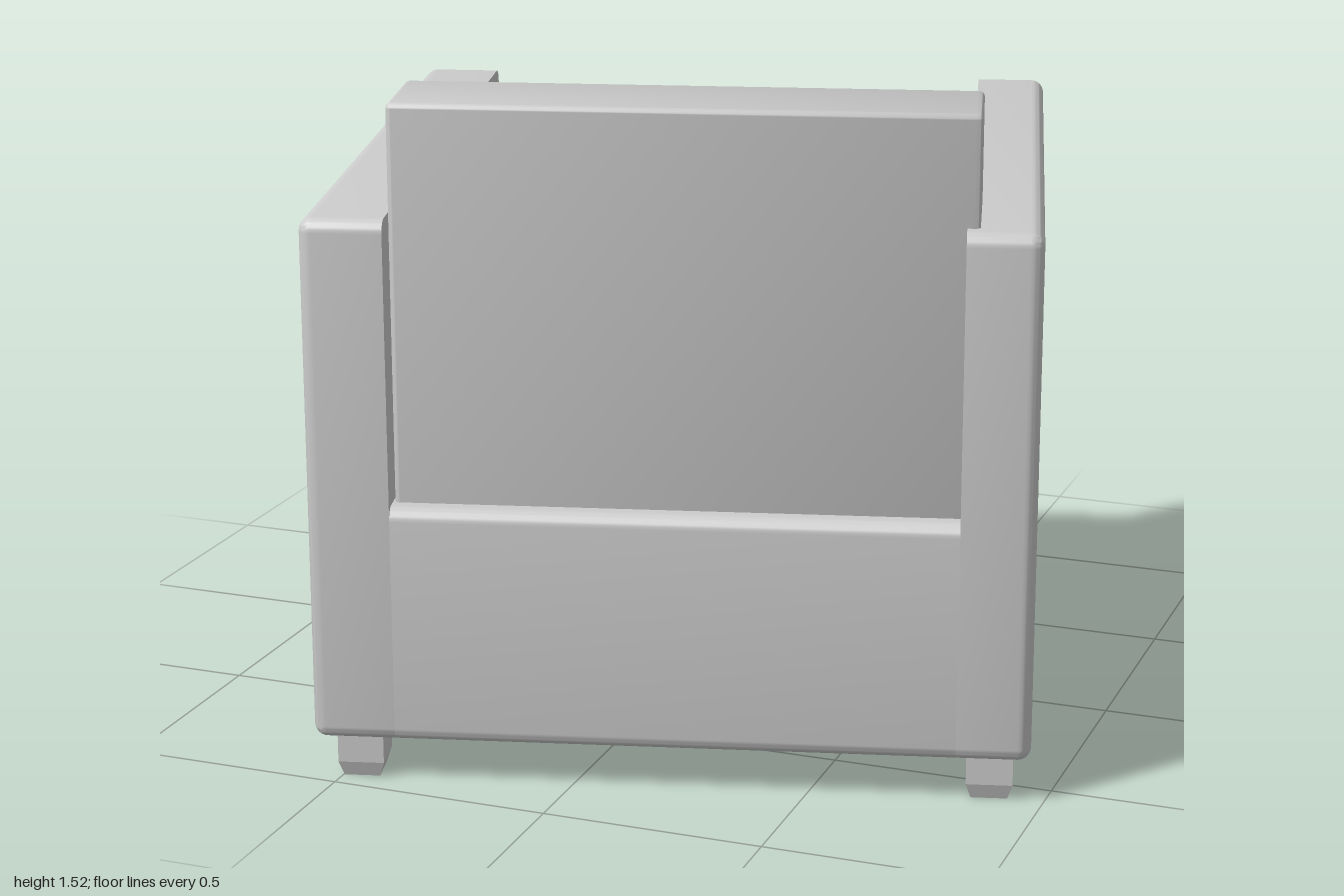
import * as THREE from 'three';
import { RoundedBoxGeometry } from 'three/addons/geometries/RoundedBoxGeometry.js';
import { toCreasedNormals } from 'three/addons/utils/BufferGeometryUtils.js';

const grey = new THREE.MeshStandardMaterial({ color: 0xcccccc });
const flatGrey = new THREE.MeshStandardMaterial({ color: 0xcccccc, flatShading: true });

// Inner faces of the right and left arms
const INNER = [-0.606, 0.626];

// Rounded block given by its limits on each axis. An end of x listed in flat
// ('low', 'high') is cut square; front can move the z of its front face by height.
function block(name, [x0, x1], [y0, y1], [z0, z1], radius, { flat = [], lean = 0 } = {}) {
  const a = flat.includes('low') ? x0 - radius : x0;
  const b = flat.includes('high') ? x1 + radius : x1;
  const geometry = new RoundedBoxGeometry(b - a, y1 - y0, z1 - z0, 4, radius);
  geometry.translate((a + b) / 2, (y0 + y1) / 2, (z0 + z1) / 2);
  const p = geometry.attributes.position;
  for (let i = 0; i < p.count; i++) {
    p.setX(i, THREE.MathUtils.clamp(p.getX(i), x0, x1));
    if (p.getZ(i) < (z0 + z1) / 2) p.setZ(i, p.getZ(i) - lean * (y1 - p.getY(i)));
  }
  const mesh = new THREE.Mesh(toCreasedNormals(geometry, 0.6), grey);
  mesh.name = name;
  return mesh;
}

export function createModel() {
  const chair = new THREE.Group();
  chair.name = 'armchair';

  // Arms: tall slabs, rounded outside and square along their inner faces
  chair.add(block('leftArm', [INNER[1], 0.789], [0.097, 1.277], [-0.829, 0.829], 0.03, { flat: ['low'] }));
  chair.add(block('rightArm', [-0.789, INNER[0]], [0.097, 1.277], [-0.829, 0.829], 0.03, { flat: ['high'] }));

  // Low panels, flush with the arms, at the seat end and the back end
  const bothEnds = { flat: ['low', 'high'] };
  chair.add(block('seatPanel', INNER, [0.097, 0.637], [-0.829, -0.7], 0.03, bothEnds));
  chair.add(block('backPanel', INNER, [0.097, 0.637], [0.7, 0.829], 0.03, bothEnds));

  // Deck closing the hollow base, open from below
  const deck = new THREE.Mesh(new THREE.BoxGeometry(INNER[1] - INNER[0], 0.08, 1.44), grey);
  deck.name = 'deck';
  deck.position.set((INNER[0] + INNER[1]) / 2, 0.565, 0);
  chair.add(deck);

  // Seat cushion filling the space between the arms
  chair.add(block('seatCushion', INNER, [0.54, 0.878], [-0.745, 0.62], 0.085, bothEnds));

  // Backrest: upright behind, its front face leaning back towards the top
  chair.add(block('backrest', [-0.602, 0.654], [0.61, 1.52], [0.525, 0.78], 0.012, { lean: 0.075 }));

  // Square feet with tapered ends
  const profile = [[0, 0], [0.04, 0], [0.051, 0.035], [0.051, 0.115], [0, 0.115]]
    .map(([r, y]) => new THREE.Vector2(r * Math.SQRT2, y));
  const footGeometry = new THREE.LatheGeometry(profile, 4).rotateY(Math.PI / 4);
  for (const sx of [-1, 1]) {
    for (const sz of [-1, 1]) {
      const foot = new THREE.Mesh(footGeometry, flatGrey);
      foot.name = 'foot';
      foot.position.set(sx * 0.694 + 0.006, 0, sz * 0.753);
      chair.add(foot);
    }
  }

  // The whole chair stands turned on the floor
  chair.rotation.y = THREE.MathUtils.degToRad(15);
  const model = new THREE.Group();
  model.add(chair);
  return model;
}
